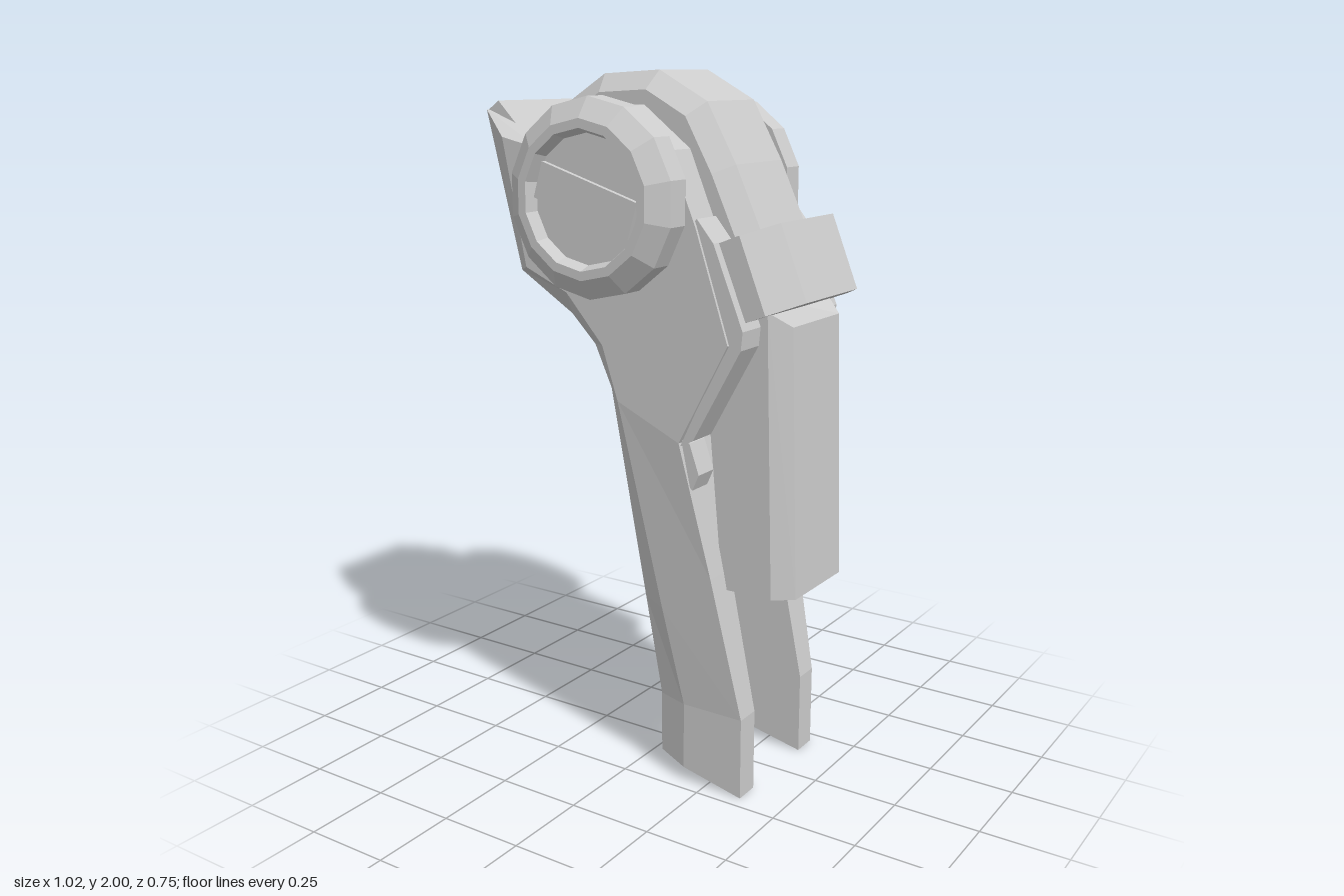
import * as THREE from 'three';

const material = new THREE.MeshStandardMaterial({ color: 0xcccccc, flatShading: true });

function add(parent, name, geometry) {
  const mesh = new THREE.Mesh(geometry, material);
  mesh.name = name;
  parent.add(mesh);
  return mesh;
}

// Joins rings of [x, y, z] corners, listed from top to bottom, into a closed solid
function loft(rings) {
  const n = rings[0].length, last = (rings.length - 1) * n, index = [];
  for (let r = 0; r < rings.length - 1; r++) {
    for (let j = 0; j < n; j++) {
      const a = r * n + j, b = r * n + (j + 1) % n;
      index.push(a, a + n, b + n, a, b + n, b);
    }
  }
  for (let j = 1; j < n - 1; j++) {
    index.push(0, j, j + 1, last, last + j + 1, last + j);
  }
  const g = new THREE.BufferGeometry();
  g.setAttribute('position', new THREE.Float32BufferAttribute(rings.flat(2), 3));
  g.setIndex(index);
  const flat = g.toNonIndexed();
  flat.computeVertexNormals();
  return flat;
}

// Completes a half ring by reflecting it in z
const mirrored = half => [...half, ...half.slice().reverse().map(([x, y, z]) => [x, y, -z])];

function slab(points, z0, z1) {
  const shape = new THREE.Shape(points.map(p => new THREE.Vector2(...p)));
  return new THREE.ExtrudeGeometry(shape, { depth: z1 - z0, bevelEnabled: false }).translate(0, 0, z0);
}

export function createModel() {
  const model = new THREE.Group();
  model.name = 'jointedLeg';

  // Body: chamfered from the fin down to the fork
  const fork = [[0.03, 0.53, 0.18], [0.12, 0.53, 0.232], [0.285, 0.65, 0.24]];
  const body = [
    [[-0.515, 1.89, 0.18], [-0.385, 1.82, 0.27], [-0.25, 1.79, 0.27]],
    [[-0.4, 1.44, 0.18], [-0.31, 1.465, 0.27], [0.1, 1.5, 0.27]],
    [[-0.22, 1.33, 0.18], [-0.17, 1.405, 0.27], [0.3, 1.31, 0.27]],
    [[-0.14, 1.25, 0.18], [-0.05, 1.27, 0.27], [0.28, 1.2, 0.27]],
    [[-0.085, 1.13, 0.18], [0, 1.12, 0.27], [0.2, 1.03, 0.27]],
    fork,
  ];
  add(model, 'body', loft(body.map(mirrored)));
  add(model, 'finLip', slab([[-0.515, 1.89], [-0.385, 1.8], [-0.385, 1.82], [-0.48, 1.915]], -0.17, 0.17));
  add(model, 'hubPlate', slab([
    [-0.31, 1.465], [-0.17, 1.405], [-0.05, 1.27], [0, 1.12], [0.2, 1.03], [0.35, 1.31],
    [0.25, 1.61], [0.17, 1.8], [0.025, 1.91], [-0.16, 1.91], [-0.27, 1.8],
  ], -0.27, 0.27));

  // Bevelled central knuckle
  const knuckle = new THREE.Shape([
    [-0.3, 1.6], [0, 1.4], [0.38, 1.3], [0.4, 1.5], [0.28, 1.76], [0.19, 1.92],
    [0.04, 2], [-0.14, 1.99], [-0.27, 1.91], [-0.33, 1.81],
  ].map(p => new THREE.Vector2(...p)));
  add(model, 'knuckle', new THREE.ExtrudeGeometry(knuckle, {
    depth: 0.24, bevelThickness: 0.05, bevelSize: 0.05, bevelOffset: -0.05, bevelSegments: 1,
  }).translate(0, 0, -0.12));

  // Band and guard on the +x side
  add(model, 'band', loft([
    [[0.245, 1.547, 0.235], [0.36, 1.592, 0.235], [0.43, 1.62, 0.145]],
    [[0.325, 1.347, 0.235], [0.44, 1.392, 0.235], [0.51, 1.42, 0.145]],
  ].map(mirrored)));
  add(model, 'guard', loft([
    [[0.2, 1.45, 0.17], [0.41, 1.39, 0.17], [0.465, 1.35, 0.13]],
    [[0.28, 0.6, 0.17], [0.435, 0.6, 0.17], [0.49, 0.6, 0.13]],
  ].map(mirrored)));

  // Paired parts, reflected for the second side
  for (const side of [1, -1]) {
    const pair = new THREE.Group();
    pair.name = side > 0 ? 'frontSide' : 'backSide';
    pair.scale.z = side;
    model.add(pair);

    const foot = [
      fork,
      [[0.085, 0.24, 0.18], [0.18, 0.24, 0.21], [0.37, 0.24, 0.21]],
      [[0.085, 0.06, 0.18], [0.18, 0.042, 0.21], [0.37, 0, 0.21]],
    ];
    add(pair, 'prong', loft(foot.map(([a, b, c]) =>
      [a, b, c, [c[0], c[1], 0.135], [a[0], a[1], 0.135]])));

    add(pair, 'edgeTrim', slab([
      [0.2, 1.02], [0.24, 1.04], [0.385, 1.3], [0.39, 1.35], [0.3, 1.57], [0.25, 1.63],
      [0.22, 1.6], [0.34, 1.31],
    ], 0.17, 0.262));
    add(pair, 'trimTab', slab([[0.2, 0.93], [0.235, 0.9], [0.255, 0.945], [0.225, 1.03], [0.19, 1.04]], 0.18, 0.255));

    // Pivot cap with a recessed face and a diagonal bar
    const cap = new THREE.Group();
    cap.name = 'pivotCap';
    cap.position.set(-0.04, 1.67, 0);
    pair.add(cap);
    const profile = [[0.001, 0.265], [0.265, 0.265], [0.265, 0.335], [0.21, 0.375], [0.185, 0.375], [0.172, 0.34], [0, 0.34]];
    add(cap, 'pivotRing', new THREE.LatheGeometry(
      profile.map(p => new THREE.Vector2(...p)), 14).rotateX(Math.PI / 2));
    add(cap, 'pivotBar', new THREE.BoxGeometry(0.32, 0.1, 0.03).translate(0, 0, 0.34)).rotation.z = -0.3;
  }
  return model;
}
